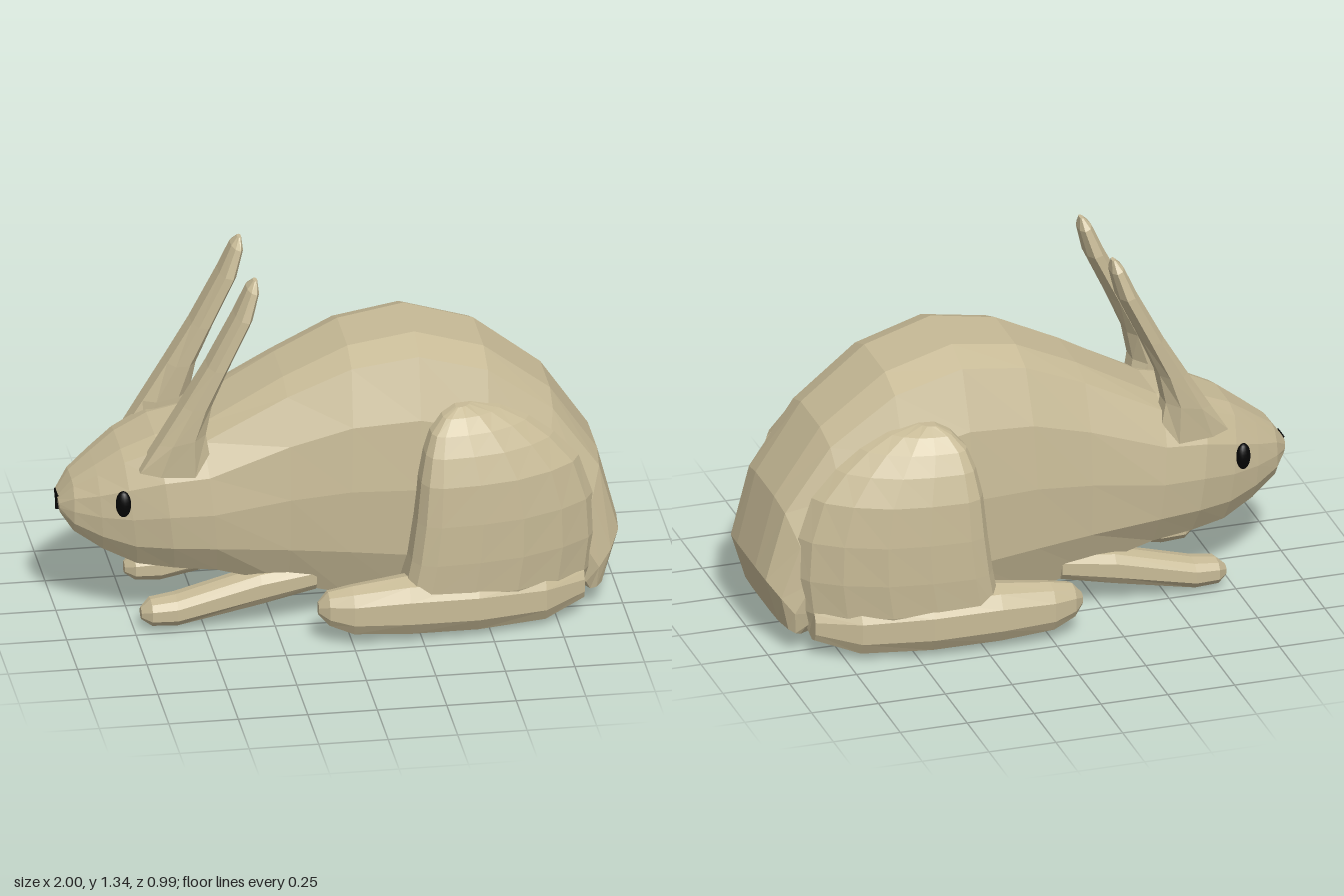
import * as THREE from 'three';

const fur = new THREE.MeshStandardMaterial({ color: 0xc8bb97, flatShading: true });
const black = new THREE.MeshStandardMaterial({ color: 0x050505 });

// Skin a list of equal-length rings of [x, y, z] points and cap both ends.
function loft(name, rings) {
  const n = rings[0].length;
  const tris = [];
  for (let i = 0; i < rings.length - 1; i++) {
    for (let j = 0; j < n; j++) {
      const k = (j + 1) % n;
      const a = rings[i][j], b = rings[i][k], c = rings[i + 1][k], d = rings[i + 1][j];
      tris.push([a, b, c], [a, c, d]);
    }
  }
  const last = rings[rings.length - 1];
  for (let j = 1; j < n - 1; j++) {
    tris.push([rings[0][0], rings[0][j + 1], rings[0][j]], [last[0], last[j], last[j + 1]]);
  }
  // The signed volume tells whether the faces point outwards.
  const volume = tris.reduce((sum, [a, b, c]) => sum
    + a[0] * (b[1] * c[2] - b[2] * c[1])
    + a[1] * (b[2] * c[0] - b[0] * c[2])
    + a[2] * (b[0] * c[1] - b[1] * c[0]), 0);
  if (volume < 0) tris.forEach((t) => t.reverse());
  const geometry = new THREE.BufferGeometry();
  geometry.setAttribute('position', new THREE.Float32BufferAttribute(tris.flat(2), 3));
  geometry.computeVertexNormals();
  const mesh = new THREE.Mesh(geometry, fur);
  mesh.name = name;
  return mesh;
}

// Boxy oval: unit [u, v] pairs, squarer for a smaller power.
function oval(n, power) {
  return Array.from({ length: n }, (_, i) => {
    const a = ((i + 0.5) / n) * Math.PI * 2;
    const c = Math.cos(a), s = Math.sin(a);
    return [Math.sign(c) * Math.abs(c) ** power, Math.sign(s) * Math.abs(s) ** power];
  });
}

// Body and head: top x, y, bottom x, y, half width of fanned sections
function body() {
  const half = [[0.36, 1], [0.7, 0.955], [0.93, 0.75], [1, 0.5], [0.96, 0.25], [0.74, 0.05], [0.36, 0]];
  const outline = [...half, ...half.map(([w, t]) => [-w, t]).reverse()];
  const sections = [
    [-1.0, 0.46, -0.99, 0.40, 0.06],
    [-0.95, 0.53, -0.95, 0.34, 0.115],
    [-0.87, 0.59, -0.85, 0.275, 0.17],
    [-0.78, 0.655, -0.73, 0.22, 0.22],
    [-0.66, 0.71, -0.6, 0.205, 0.265],
    [-0.5, 0.74, -0.45, 0.19, 0.285],
    [-0.2, 0.91, -0.2, 0.11, 0.297],
    [0.03, 1.02, 0, 0.06, 0.325],
    [0.27, 1.06, 0.25, 0.015, 0.34],
    [0.52, 0.985, 0.48, 0.0, 0.33],
    [0.76, 0.80, 0.64, 0.005, 0.305],
    [0.93, 0.55, 0.75, 0.02, 0.295],
    [1.0, 0.28, 0.82, 0.045, 0.285],
    [0.945, 0.10, 0.86, 0.06, 0.27],
  ];
  return loft('body', sections.map(([tx, ty, bx, by, w]) => outline.map(([u, t]) =>
    [bx + (tx - bx) * t, by + (ty - by) * t, u * w])));
}

// Ear: front edge x, y, back edge x, y, centre z, half width
function ear(s) {
  const sections = [
    [-0.74, 0.62, -0.46, 0.60, 0.19, 0.07],
    [-0.67, 0.725, -0.49, 0.76, 0.19, 0.08],
    [-0.58, 0.87, -0.47, 0.87, 0.188, 0.083],
    [-0.49, 1.02, -0.41, 1.01, 0.187, 0.083],
    [-0.39, 1.21, -0.325, 1.19, 0.186, 0.078],
    [-0.345, 1.31, -0.30, 1.29, 0.185, 0.055],
    [-0.32, 1.335, -0.305, 1.335, 0.185, 0.018],
  ];
  return loft('ear', sections.map(([fx, fy, bx, by, z, w]) => oval(8, 0.85).map(([u, v]) => {
    const t = (v + 1) / 2;
    return [fx + (bx - fx) * t, fy + (by - fy) * t, s * (z + u * w)];
  })));
}

// Limb lying along x: x, bottom, top, inner z, outer z
function limb(name, s, sections) {
  return loft(name, sections.map(([x, lo, hi, zi, zo]) => oval(10, 0.8).map(([u, v]) =>
    [x, (lo + hi) / 2 + v * (hi - lo) / 2, s * ((zi + zo) / 2 + u * (zo - zi) / 2)])));
}

// Thigh: height, front x, rear x, share of the full bulge
function thigh(s) {
  const sections = [
    [0.025, 0.28, 0.76, 0.5],
    [0.07, 0.22, 0.85, 0.82],
    [0.17, 0.19, 0.885, 0.97],
    [0.3, 0.215, 0.90, 1],
    [0.45, 0.235, 0.89, 1],
    [0.6, 0.25, 0.84, 0.96],
    [0.7, 0.27, 0.75, 0.82],
    [0.77, 0.295, 0.66, 0.65],
    [0.82, 0.34, 0.56, 0.45],
    [0.845, 0.39, 0.45, 0.25],
  ];
  const plan = [[0, 0.27], [0, 0.42], [0.04, 0.465], [0.12, 0.483], [0.35, 0.475],
    [0.58, 0.45], [0.8, 0.39], [0.95, 0.32], [1, 0.26]];
  return loft('thigh', sections.map(([y, x0, x1, bulge]) => plan.map(([t, z]) =>
    [x0 + (x1 - x0) * t, y, s * (0.27 + (z - 0.27) * bulge)])));
}

function ball(name, x, y, z, sx, sy, sz) {
  const mesh = new THREE.Mesh(new THREE.SphereGeometry(1, 16, 12), black);
  mesh.name = name;
  mesh.position.set(x, y, z);
  mesh.scale.set(sx, sy, sz);
  return mesh;
}

export function createModel() {
  const rabbit = new THREE.Group();
  rabbit.name = 'rabbit';
  rabbit.add(body());

  for (const s of [1, -1]) {
    rabbit.add(ear(s), thigh(s));
    rabbit.add(limb('hindFoot', s, [
      [-0.12, 0.11, 0.155, 0.385, 0.43],
      [-0.085, 0.07, 0.195, 0.355, 0.465],
      [0.0, 0.035, 0.215, 0.345, 0.49],
      [0.2, 0.02, 0.235, 0.31, 0.5],
      [0.45, 0.012, 0.23, 0.28, 0.485],
      [0.7, 0.012, 0.21, 0.26, 0.425],
      [0.85, 0.06, 0.18, 0.25, 0.34],
    ]));
    rabbit.add(limb('frontLeg', s, [
      [-0.725, 0.04, 0.08, 0.17, 0.22],
      [-0.69, 0.018, 0.112, 0.135, 0.255],
      [-0.6, 0.015, 0.125, 0.125, 0.265],
      [-0.3, 0.075, 0.21, 0.125, 0.265],
      [-0.1, 0.12, 0.23, 0.13, 0.255],
    ]));
    const eye = ball('eye', -0.79, 0.5, s * 0.212, 0.028, 0.05, 0.022);
    eye.rotation.y = -s * 0.4;
    rabbit.add(eye);
  }

  // Nose: a small triangle with a slit below it
  const shape = new THREE.Shape([[-0.035, 0.03], [-0.006, -0.005], [-0.006, -0.035],
    [0.006, -0.035], [0.006, -0.005], [0.035, 0.03]].map(([x, y]) => new THREE.Vector2(x, y)));
  const nose = new THREE.Mesh(
    new THREE.ExtrudeGeometry(shape, { depth: 0.03, bevelEnabled: false }), black);
  nose.name = 'nose';
  nose.rotation.y = -Math.PI / 2;
  nose.position.set(-0.972, 0.435, 0);
  rabbit.add(nose);
  return rabbit;
}
